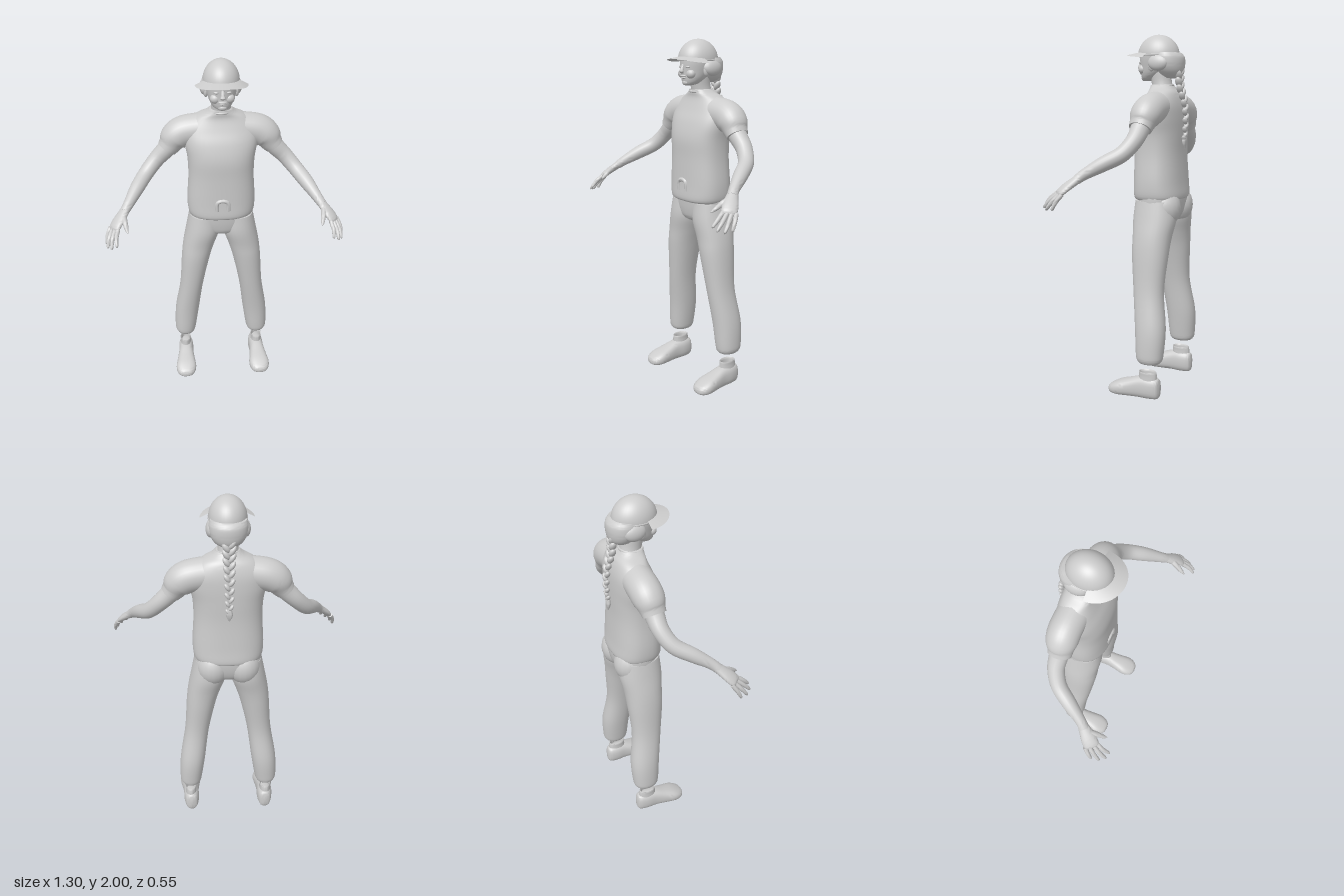
import * as THREE from 'three';
import { toCreasedNormals } from 'three/addons/utils/BufferGeometryUtils.js';

const grey = new THREE.MeshStandardMaterial({ color: 0xcccccc, side: THREE.DoubleSide });
grey.name = 'plain grey';
const V = (x, y, z) => new THREE.Vector3(x, y, z);
const X = V(1, 0, 0), Y = V(0, 1, 0), Z = V(0, 0, 1);

// Smooth loft through sections [x, y, z, radiusU, radiusV].
// ref is the direction of radiusU; axis, when given, keeps all rings parallel.
function loft(rows, { ref = X, axis = null, power = 2, sides = 28, steps = 5, caps = true } = {}) {
  const centre = new THREE.CatmullRomCurve3(rows.map(r => V(r[0], r[1], r[2])), false, 'catmullrom', 0.5);
  const radius = new THREE.CatmullRomCurve3(rows.map(r => V(r[3], r[4] ?? r[3], 0)), false, 'catmullrom', 0.5);
  const n = (rows.length - 1) * steps, pos = [], idx = [];
  const bulge = c => Math.sign(c) * Math.abs(c) ** (2 / power);
  for (let i = 0; i <= n; i++) {
    const c = centre.getPoint(i / n), r = radius.getPoint(i / n);
    const t = axis ? axis.clone() : centre.getTangent(i / n);
    const u = ref.clone().addScaledVector(t, -ref.dot(t)).normalize();
    const v = t.clone().cross(u);
    for (let j = 0; j < sides; j++) {
      const a = (j / sides) * Math.PI * 2;
      const p = c.clone().addScaledVector(u, Math.max(r.x, 0.001) * bulge(Math.cos(a)))
        .addScaledVector(v, Math.max(r.y, 0.001) * bulge(Math.sin(a)));
      pos.push(p.x, p.y, p.z);
    }
  }
  for (let i = 0; i < n; i++) for (let j = 0; j < sides; j++) {
    const k = (j + 1) % sides, a = i * sides + j, b = i * sides + k;
    idx.push(a, b, b + sides, a, b + sides, a + sides);
  }
  if (caps) for (const [end, flip] of [[0, true], [n, false]]) {
    const c = centre.getPoint(end / n), m = pos.length / 3;
    pos.push(c.x, c.y, c.z);
    for (let j = 0; j < sides; j++) {
      const a = end * sides + j, b = end * sides + (j + 1) % sides;
      idx.push(m, ...(flip ? [b, a] : [a, b]));
    }
  }
  const g = new THREE.BufferGeometry();
  g.setAttribute('position', new THREE.Float32BufferAttribute(pos, 3));
  g.setIndex(idx);
  return toCreasedNormals(g, 1.0);
}

export function createModel() {
  const model = new THREE.Group();
  const add = (name, geometry) => {
    const m = new THREE.Mesh(geometry, grey);
    m.name = name;
    model.add(m);
    return m;
  };
  const blob = (name, x, y, z, rx, ry, rz, tilt = 0) => {
    const m = add(name, new THREE.SphereGeometry(1, 20, 14));
    m.position.set(x, y, z);
    m.scale.set(rx, ry, rz);
    m.rotation.z = tilt;
    return m;
  };

  // Shirt body with rolled hem and neck band
  add('shirt', loft([
    [0, 1.1, -0.115, 0.15, 0.11], [0, 1.115, -0.115, 0.185, 0.135], [0, 1.2, -0.112, 0.193, 0.132],
    [0, 1.35, -0.108, 0.184, 0.127], [0, 1.46, -0.108, 0.188, 0.128], [0, 1.55, -0.118, 0.205, 0.118],
    [0, 1.62, -0.13, 0.2, 0.1], [0, 1.68, -0.132, 0.145, 0.08], [0, 1.71, -0.12, 0.085, 0.068],
    [0, 1.73, -0.112, 0.06, 0.06],
  ], { axis: Y, power: 2.5, sides: 40 }));
  const band = add('neckBand', new THREE.TorusGeometry(0.06, 0.007, 8, 32));
  band.position.set(0, 1.722, -0.112);
  band.rotation.x = Math.PI / 2 + 0.1;

  // Gathered cloth at the front hem
  const knot = loft([[-0.032, 1.165, 0.014, 0.012], [-0.03, 1.215, 0.017, 0.012],
    [0, 1.228, 0.018, 0.012], [0.03, 1.215, 0.017, 0.012], [0.032, 1.165, 0.014, 0.012]],
  { ref: Z, sides: 10 });
  add('hemFold', knot);

  // Pelvis and seat of the trousers
  add('trouserSeat', loft([
    [0, 0.975, -0.115, 0.03, 0.06], [0, 1.0, -0.118, 0.12, 0.1], [0, 1.05, -0.122, 0.178, 0.118],
    [0, 1.12, -0.122, 0.186, 0.125], [0, 1.17, -0.115, 0.175, 0.12],
  ], { axis: Y, power: 2.3 }));

  for (const s of [1, -1]) {
    const side = s > 0 ? 'left' : 'right';
    blob(side + 'Buttock', s * 0.085, 1.06, -0.165, 0.092, 0.11, 0.095);

    // Trouser leg with gathered, hollow cuff
    add(side + 'TrouserLeg', loft([
      [s * 0.095, 1.1, -0.12, 0.09, 0.115], [s * 0.105, 1.0, -0.12, 0.1, 0.122],
      [s * 0.132, 0.9, -0.117, 0.093, 0.11], [s * 0.153, 0.8, -0.115, 0.084, 0.103],
      [s * 0.182, 0.6, -0.12, 0.07, 0.086], [s * 0.212, 0.4, -0.145, 0.073, 0.086],
      [s * 0.226, 0.26, -0.148, 0.066, 0.078], [s * 0.227, 0.222, -0.148, 0.058, 0.07],
      [s * 0.227, 0.21, -0.148, 0.044, 0.052], [s * 0.227, 0.24, -0.148, 0.036, 0.042],
    ], { axis: V(0, -1, 0), power: 2.2 }));

    // Shoe, lofted from heel to toe, and ankle collar
    add(side + 'Shoe', loft([
      [s * 0.228, 0.06, -0.21, 0.012, 0.03], [s * 0.228, 0.063, -0.198, 0.034, 0.056],
      [s * 0.229, 0.065, -0.15, 0.046, 0.063], [s * 0.231, 0.062, -0.09, 0.046, 0.06],
      [s * 0.233, 0.052, -0.03, 0.054, 0.051], [s * 0.235, 0.042, 0.03, 0.063, 0.041],
      [s * 0.236, 0.034, 0.07, 0.053, 0.03], [s * 0.236, 0.031, 0.092, 0.032, 0.018],
      [s * 0.236, 0.03, 0.098, 0.006, 0.006],
    ], { axis: Z, power: 2.6 }));
    add(side + 'AnkleCollar', loft([
      [s * 0.231, 0.09, -0.14, 0.036, 0.056], [s * 0.231, 0.13, -0.14, 0.033, 0.054],
      [s * 0.231, 0.156, -0.138, 0.033, 0.05], [s * 0.231, 0.15, -0.138, 0.028, 0.045],
      [s * 0.231, 0.12, -0.138, 0.026, 0.042],
    ], { axis: Y }));

    // Sleeve
    add(side + 'Sleeve', loft([
      [s * 0.1, 1.61, -0.132, 0.085, 0.085], [s * 0.2, 1.593, -0.135, 0.085, 0.086],
      [s * 0.252, 1.562, -0.132, 0.082, 0.08], [s * 0.28, 1.523, -0.128, 0.068, 0.064],
      [s * 0.299, 1.498, -0.126, 0.063, 0.055], [s * 0.295, 1.503, -0.126, 0.045, 0.042],
    ].slice(0, 5), { ref: Z }));

    // Arm
    const across = V(-0.62 * s, 0.1, 0.78);
    add(side + 'Arm', loft([
      [s * 0.25, 1.565, -0.132, 0.055], [s * 0.3, 1.497, -0.127, 0.051], [s * 0.36, 1.435, -0.12, 0.045],
      [s * 0.42, 1.37, -0.08, 0.042], [s * 0.47, 1.322, 0, 0.039], [s * 0.515, 1.272, 0.08, 0.029],
      [s * 0.54, 1.243, 0.115, 0.028, 0.024],
    ], { ref: across, sides: 20 }));

    // Hand: palm, four fingers and thumb
    add(side + 'Palm', loft([
      [s * 0.53, 1.255, 0.1, 0.026, 0.022], [s * 0.55, 1.232, 0.128, 0.034, 0.021],
      [s * 0.575, 1.205, 0.158, 0.041, 0.019], [s * 0.594, 1.18, 0.182, 0.04, 0.016],
      [s * 0.601, 1.172, 0.19, 0.028, 0.008],
    ], { ref: across, sides: 20 }));
    const tips = [[0.582, 1.115, 0.275], [0.61, 1.1, 0.268], [0.632, 1.092, 0.24], [0.641, 1.095, 0.2]];
    tips.forEach(([x, y, z], i) => {
      const k = i / 3, bx = 0.575 + 0.042 * k, by = 1.18 - 0.006 * k, bz = 0.205 - 0.05 * k;
      add(side + 'Finger', loft([
        [s * bx, by, bz, 0.012], [s * (bx * 0.45 + x * 0.55 + 0.005), by * 0.45 + y * 0.55 + 0.006, bz * 0.45 + z * 0.55, 0.011],
        [s * x, y + 0.006, z - 0.003, 0.008], [s * x, y, z, 0.002],
      ], { ref: across, sides: 10, steps: 3 }));
    });
    add(side + 'Thumb', loft([
      [s * 0.548, 1.235, 0.13, 0.018], [s * 0.538, 1.215, 0.175, 0.015],
      [s * 0.528, 1.188, 0.215, 0.011], [s * 0.522, 1.175, 0.237, 0.003],
    ], { sides: 10, steps: 3 }));

    // Ear, eye and the hair over the temple
    blob(side + 'Ear', s * 0.082, 1.832, -0.085, 0.013, 0.032, 0.02);
    blob(side + 'Eye', s * 0.031, 1.852, 0.005, 0.015, 0.007, 0.01);
    blob(side + 'Cheek', s * 0.037, 1.815, -0.012, 0.028, 0.026, 0.025);
    blob(side + 'SideHair', s * 0.082, 1.847, -0.125, 0.03, 0.045, 0.06, s * 0.15);
  }

  // Neck and head
  add('neck', loft([[0, 1.68, -0.125, 0.062, 0.06], [0, 1.74, -0.11, 0.053, 0.057],
    [0, 1.8, -0.1, 0.055, 0.06]], { axis: Y }));
  add('head', loft([
    [0, 1.752, -0.03, 0.014, 0.02], [0, 1.762, -0.04, 0.042, 0.045], [0, 1.79, -0.06, 0.064, 0.072],
    [0, 1.83, -0.078, 0.078, 0.093], [0, 1.87, -0.085, 0.086, 0.103], [0, 1.91, -0.09, 0.088, 0.108],
  ], { axis: Y }));
  add('nose', loft([[0, 1.868, 0.012, 0.008], [0, 1.842, 0.022, 0.01], [0, 1.826, 0.026, 0.015, 0.011],
    [0, 1.818, 0.018, 0.008]], { axis: V(0, -1, 0), sides: 14 }));
  blob('upperLip', 0, 1.803, 0.013, 0.024, 0.006, 0.01);
  blob('lowerLip', 0, 1.794, 0.011, 0.02, 0.006, 0.01);
  blob('chin', 0, 1.768, -0.004, 0.025, 0.016, 0.016);

  // Hair gathered behind the head
  add('backHair', loft([
    [0, 1.765, -0.165, 0.03, 0.03], [0, 1.79, -0.165, 0.07, 0.062], [0, 1.83, -0.158, 0.094, 0.08],
    [0, 1.875, -0.152, 0.098, 0.085], [0, 1.9, -0.15, 0.09, 0.07],
  ], { axis: Y }));

  // Braid of alternating strands with a loose tail
  const braid = new THREE.CatmullRomCurve3([V(0, 1.8, -0.215), V(0, 1.72, -0.22),
    V(0, 1.64, -0.245), V(0, 1.54, -0.255), V(0, 1.44, -0.248)]);
  for (let i = 0; i < 18; i++) {
    const p = braid.getPoint(i / 17), s = i % 2 ? 1 : -1, w = 1 - 0.45 * (i / 17);
    blob('braidStrand', s * 0.016 * w, p.y, p.z, 0.017 * w, 0.033 * w, 0.021 * w, -s * 0.6);
  }
  add('braidTail', loft([[0, 1.45, -0.248, 0.012], [0, 1.42, -0.248, 0.018, 0.013],
    [0, 1.385, -0.25, 0.003]], { axis: V(0, -1, 0), sides: 12 }));

  // Cap dome, its band and the drooping brim
  const dome = add('capDome', new THREE.SphereGeometry(1, 36, 16, 0, Math.PI * 2, 0, Math.PI / 2));
  dome.position.set(0, 1.885, -0.09);
  dome.scale.set(0.098, 0.115, 0.119);
  const rim = add('capBand', new THREE.TorusGeometry(1, 0.04, 6, 40));
  rim.position.set(0, 1.888, -0.09);
  rim.scale.set(0.097, 0.118, 0.12);
  rim.rotation.x = Math.PI / 2;

  const brim = new THREE.PlaneGeometry(1, 1, 36, 5);
  const p = brim.attributes.position;
  for (let i = 0; i < p.count; i++) {
    const a = (0.5 - p.getX(i)) * Math.PI, k = 0.5 - p.getY(i);
    const x = Math.cos(a) * (0.09 + 0.05 * k), z = -0.06 + Math.sin(a) * (0.08 + 0.07 * k);
    p.setXYZ(i, x, 1.908 - 0.012 * k - 1.1 * x * x, z);
  }
  brim.computeVertexNormals();
  add('capBrim', brim);
  return model;
}
